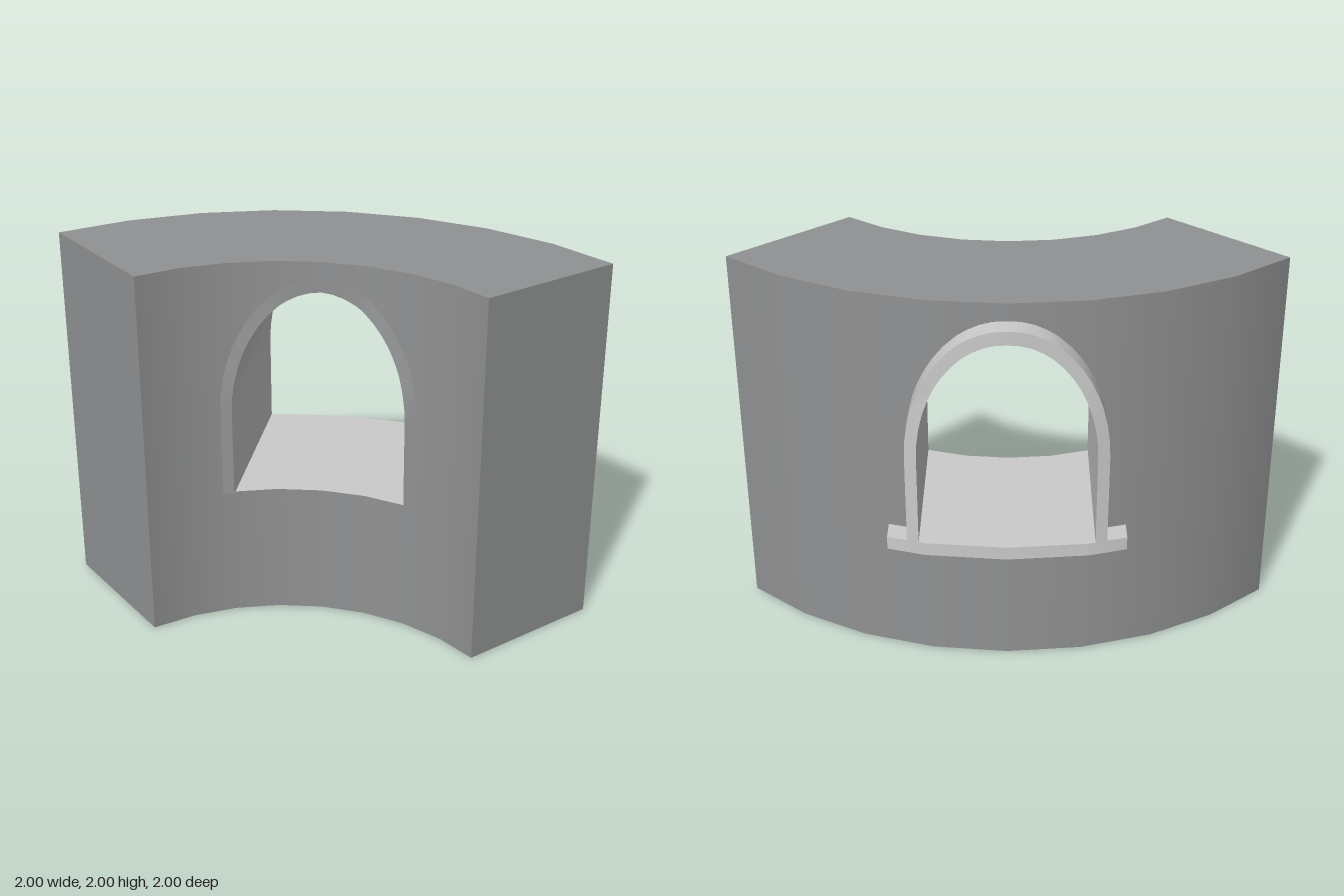
import * as THREE from 'three';
import { toCreasedNormals } from 'three/addons/utils/BufferGeometryUtils.js';

// Plan of the quarter ring: s runs along the wall from its middle, d runs outward from the ring centre
const INNER = 1.2, OUTER = 2, TRIM = 2.12, HEIGHT = 2;
const FACET = Math.PI / 16;
const SILL_Y = 0.725, SPRING_Y = 1.2;
const ARCH_OUT = { w: 0.505, h: 0.71 }, ARCH_IN = { w: 0.445, h: 0.64 };
const ARCH_STEPS = 24;
const WALL_COLOR = 0x919293, TRIM_COLOR = 0xcccccc;

const point = (s, d, y) => [-1 + Math.SQRT1_2 * (d + s), y, 1 + Math.SQRT1_2 * (s - d)];

// Distance of the faceted cylinder of radius r at offset s
function depth(r, s) {
  const a = Math.asin(s / r) / FACET;
  const k = Math.max(-4, Math.min(3, Math.floor(a)));
  const s0 = r * Math.sin(k * FACET), s1 = r * Math.sin((k + 1) * FACET);
  const d0 = r * Math.cos(k * FACET), d1 = r * Math.cos((k + 1) * FACET);
  return d0 + (d1 - d0) * (s - s0) / (s1 - s0);
}

const facetOffsets = r => Array.from({ length: 9 }, (_, i) => r * Math.sin((i - 4) * FACET));
const sorted = list => list.sort((a, b) => a - b).filter((v, i, l) => i === 0 || v - l[i - 1] > 1e-5);

function toGeometry(quads) {
  const pos = [];
  for (const [a, b, c, d] of quads) pos.push(...a, ...b, ...c, ...a, ...c, ...d);
  const geo = new THREE.BufferGeometry();
  geo.setAttribute('position', new THREE.Float32BufferAttribute(pos, 3));
  return geo;
}

function makeMesh(name, geo, color) {
  const mesh = new THREE.Mesh(geo, new THREE.MeshStandardMaterial({ color }));
  mesh.name = name;
  return mesh;
}

const creased = quads => toCreasedNormals(toGeometry(quads), 0.6);

// Smooth normals pointing from (sign 1) or to (sign -1) the ring's axis
function radial(quads, sign) {
  const geo = toGeometry(quads);
  const p = geo.attributes.position, normals = [];
  for (let i = 0; i < p.count; i++) {
    const n = new THREE.Vector3(p.getX(i) + 1, 0, p.getZ(i) - 1).normalize().multiplyScalar(sign);
    normals.push(n.x, n.y, n.z);
  }
  geo.setAttribute('normal', new THREE.Float32BufferAttribute(normals, 3));
  return geo;
}

// Side j of a row of four-cornered sections joined along a path
function strip(rings, j) {
  const k = (j + 1) % 4;
  return rings.slice(1).map((next, i) => [rings[i][j], rings[i][k], next[k], next[j]]);
}

// Arch angles, with extra steps where the arch crosses a facet edge
const angles = sorted([
  ...Array.from({ length: ARCH_STEPS + 1 }, (_, i) => Math.PI * i / ARCH_STEPS),
  ...[INNER, OUTER, TRIM].flatMap(facetOffsets).filter(s => Math.abs(s) < ARCH_OUT.w).map(s => Math.acos(s / ARCH_OUT.w)),
]);

// Points of an arch from the right foot over the crown to the left foot
const archPath = ({ w, h }) => [
  [w, SILL_Y],
  ...angles.map(a => [w * Math.cos(a), SPRING_Y + h * Math.sin(a)]),
  [-w, SILL_Y],
];

const archStations = sorted(archPath(ARCH_OUT).map(p => p[0]));

// One curved face of the wall with the arched opening
function curvedFace(r) {
  const { w, h } = ARCH_OUT;
  const archTop = s => SPRING_Y + h * Math.sqrt(Math.max(0, 1 - (s / w) ** 2));
  const stations = sorted([...facetOffsets(r), ...archStations]);
  const quads = [];
  for (let i = 0; i + 1 < stations.length; i++) {
    const s0 = stations[i], s1 = stations[i + 1];
    const panel = (low0, low1, high) => {
      const d0 = depth(r, s0), d1 = depth(r, s1);
      const q = [point(s0, d0, low0), point(s1, d1, low1), point(s1, d1, high), point(s0, d0, high)];
      quads.push(r === INNER ? q : q.reverse());
    };
    if (Math.abs((s0 + s1) / 2) < w) {
      panel(0, 0, SILL_Y);
      panel(archTop(s0), archTop(s1), HEIGHT);
    } else panel(0, 0, HEIGHT);
  }
  return quads;
}

// Top, bottom and flat ends of the wall
function wallEdges() {
  const at = (r, k, y) => point(r * Math.sin(k * FACET), r * Math.cos(k * FACET), y);
  const quads = [];
  for (let k = -4; k < 4; k++) {
    for (const y of [0, HEIGHT]) {
      const q = [at(OUTER, k, y), at(INNER, k, y), at(INNER, k + 1, y), at(OUTER, k + 1, y)];
      quads.push(y ? q : q.reverse());
    }
  }
  for (const k of [-4, 4]) {
    const q = [at(OUTER, k, 0), at(OUTER, k, HEIGHT), at(INNER, k, HEIGHT), at(INNER, k, 0)];
    quads.push(k > 0 ? q : q.reverse());
  }
  return quads;
}

// Sections of the arched lining: outside edge, outside lip, inside lip, inside edge
function frameRings() {
  const inside = archPath(ARCH_IN);
  return archPath(ARCH_OUT).map(([so, yo], i) => {
    const [si, yi] = inside[i];
    return [
      point(so, depth(TRIM, so), yo),
      point(si, depth(TRIM, si), yi),
      point(si, depth(INNER, i === 0 ? si : so), yi),
      point(so, depth(INNER, so), yo),
    ];
  });
}

// Curved ledge outside, with the floor of the opening
function sillQuads() {
  const half = 0.608, low = 0.655;
  const stations = sorted([-half, half, ...facetOffsets(OUTER), ...facetOffsets(TRIM)]).filter(s => Math.abs(s) <= half);
  const rings = stations.map(s => {
    const front = depth(TRIM, s), back = depth(OUTER, s);
    return [point(s, front, low), point(s, front, SILL_Y), point(s, back, SILL_Y), point(s, back, low)];
  });
  const floor = archStations.slice(1).map((b, i) => {
    const a = archStations[i];
    return [point(a, depth(OUTER, a), SILL_Y), point(a, depth(INNER, a), SILL_Y),
      point(b, depth(INNER, b), SILL_Y), point(b, depth(OUTER, b), SILL_Y)];
  });
  return [
    ...[0, 1, 2, 3].flatMap(j => strip(rings, j)),
    [...rings[0]].reverse(), rings[rings.length - 1],
    ...floor,
  ];
}

export function createModel() {
  const model = new THREE.Group();
  model.name = 'curvedWallWithWindow';
  const rings = frameRings();
  model.add(
    makeMesh('wallInnerFace', radial(curvedFace(INNER), -1), WALL_COLOR),
    makeMesh('wallOuterFace', radial(curvedFace(OUTER), 1), WALL_COLOR),
    makeMesh('wallEdges', creased(wallEdges()), WALL_COLOR),
    makeMesh('archInnerSurround', creased(strip(rings, 2)), WALL_COLOR),
    makeMesh('archFrame', creased([0, 1, 3].flatMap(j => strip(rings, j))), TRIM_COLOR),
    makeMesh('windowSill', creased(sillQuads()), TRIM_COLOR),
  );
  return model;
}
